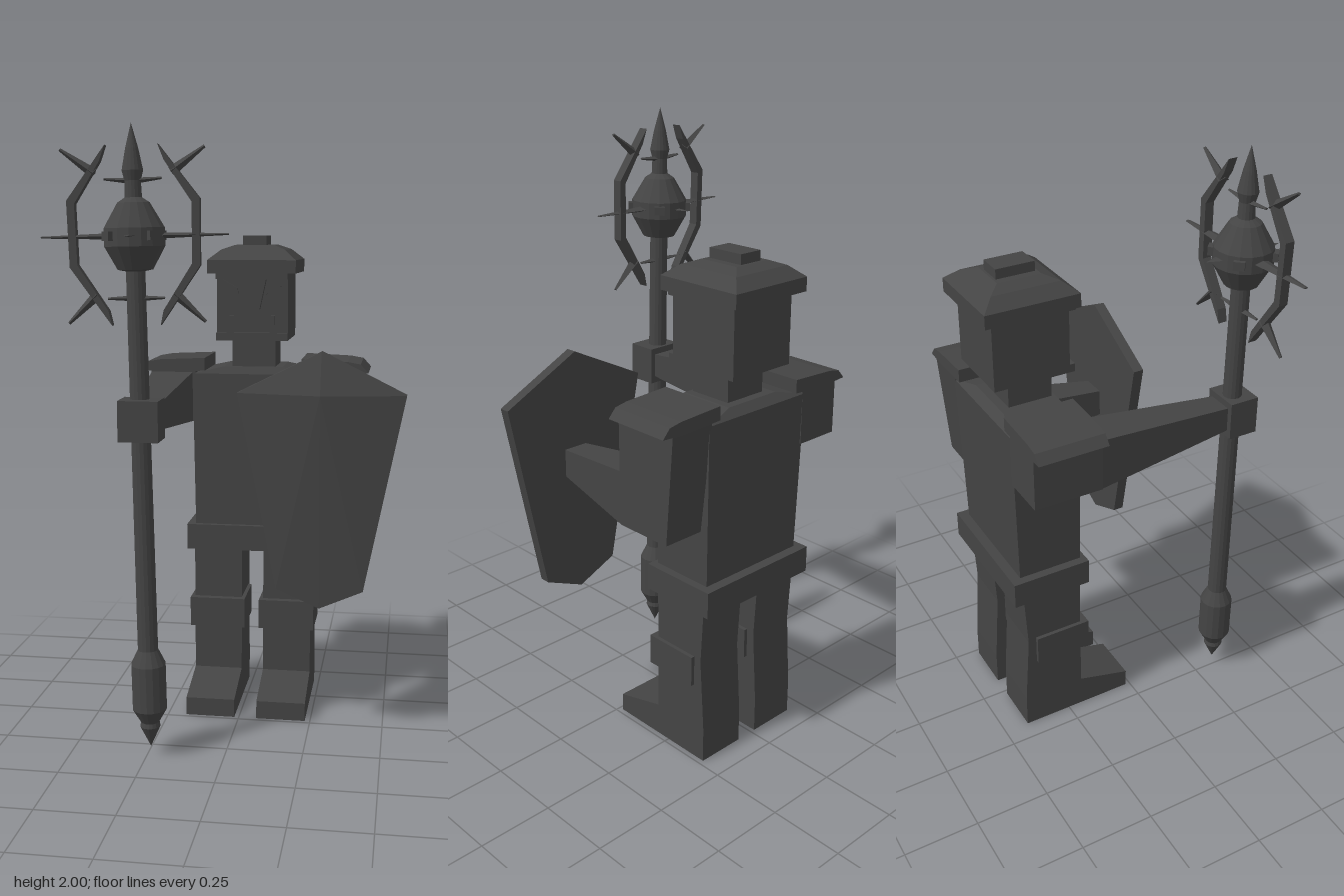
import * as THREE from 'three';

const iron = new THREE.MeshStandardMaterial({ color: 0x444444, flatShading: true });
iron.name = 'dark iron';

const mesh = (name, geometry, parent) => {
  const m = new THREE.Mesh(geometry, iron);
  m.name = name;
  parent.add(m);
  return m;
};

// Box given by its limits
function box(x0, x1, y0, y1, z0, z1) {
  return new THREE.BoxGeometry(x1 - x0, y1 - y0, z1 - z0)
    .translate((x0 + x1) / 2, (y0 + y1) / 2, (z0 + z1) / 2);
}

// Tapered block along z: each end is [x0, x1, y0, y1, z]
function taperZ(back, front) {
  const g = new THREE.BoxGeometry(1, 1, 1), p = g.attributes.position;
  for (let i = 0; i < p.count; i++) {
    const e = p.getZ(i) > 0 ? front : back;
    p.setXYZ(i, p.getX(i) > 0 ? e[1] : e[0], p.getY(i) > 0 ? e[3] : e[2], e[4]);
  }
  g.computeVertexNormals();
  return g;
}

// Tapered block along y: each end is [x0, x1, z0, z1, y]
function taperY(low, high) {
  const g = new THREE.BoxGeometry(1, 1, 1), p = g.attributes.position;
  for (let i = 0; i < p.count; i++) {
    const e = p.getY(i) > 0 ? high : low;
    p.setXYZ(i, p.getX(i) > 0 ? e[1] : e[0], e[4], p.getZ(i) > 0 ? e[3] : e[2]);
  }
  g.computeVertexNormals();
  return g;
}

// Polygon in x, y extruded along z
function plate(points, z0, z1) {
  const shape = new THREE.Shape(points.map(([x, y]) => new THREE.Vector2(x, y)));
  return new THREE.ExtrudeGeometry(shape, { depth: z1 - z0, bevelEnabled: false }).translate(0, 0, z0);
}

// Side profile in z, y extruded across x
const sidePlate = (points, x0, x1) => plate(points, -x1, -x0).rotateY(-Math.PI / 2);

// Pointed bar between two points in the x, y plane
function spike(from, to, rBase, rTip, flat) {
  const a = new THREE.Vector2(...from), d = new THREE.Vector2(...to).sub(a);
  return new THREE.CylinderGeometry(rTip, rBase, d.length(), 4)
    .scale(flat, 1, 1)
    .translate(0, d.length() / 2, 0)
    .rotateZ(d.angle() - Math.PI / 2)
    .translate(a.x, a.y, 0);
}

function buildBody(root) {
  const cx = 0.023;
  mesh('torso', taperY([-0.18, 0.226, -0.415, -0.195, 0.6], [-0.19, 0.236, -0.428, -0.195, 1.19]), root);
  mesh('collar', taperY([-0.19, 0.236, -0.428, -0.195, 1.19], [-0.08, 0.126, -0.4, -0.21, 1.215]), root);
  mesh('belt', box(-0.21, 0.255, 0.56, 0.65, -0.45, -0.177), root);
  mesh('neck', box(-0.053, 0.1, 1.19, 1.32, -0.37, -0.22), root);

  // Legs with feet, and knee guards
  const leg = [[-0.415, 0], [-0.015, 0], [-0.015, 0.063], [-0.2, 0.112], [-0.2, 0.58],
    [-0.41, 0.58], [-0.398, 0.37], [-0.415, 0.12]];
  for (const side of [-1, 1]) {
    const x = cx + side * 0.124;
    const label = side < 0 ? 'right' : 'left';
    mesh(label + 'Leg', sidePlate(leg, x - 0.085, x + 0.085), root);
    mesh(label + 'Knee', box(x - 0.098, x + 0.098, 0.275, 0.38, -0.37, -0.175), root);

    // Curved shoulder plate
    const pad = [[0.402, 1.2], [0.375, 1.23], [0.33, 1.238], [0.17, 1.245], [0.17, 1.2], [0.33, 1.195]]
      .map(([px, py]) => [cx + side * px, py]);
    mesh(label + 'ShoulderPlate', plate(pad, -0.43, -0.195), root);
  }

  // Right arm reaching to the staff
  mesh('rightShoulder', box(-0.338, -0.18, 1.02, 1.205, -0.428, -0.195), root);
  mesh('rightForearm', taperZ([-0.336, -0.19, 1.02, 1.195, -0.2], [-0.297, -0.208, 1.065, 1.145, 0.3]), root);
  mesh('rightHand', box(-0.317, -0.19, 1.04, 1.168, 0.288, 0.39), root);

  // Left arm bent behind the shield
  mesh('leftUpperArm', taperY([0.24, 0.384, -0.4, -0.195, 0.84], [0.226, 0.386, -0.43, -0.195, 1.205]), root);
  mesh('leftForearm', taperZ([0.24, 0.384, 0.84, 1.02, -0.2], [0.255, 0.34, 0.887, 0.98, 0.13]), root);
}

function buildHead(root) {
  const head = new THREE.Group();
  head.name = 'head';
  root.add(head);
  mesh('skull', box(-0.1, 0.147, 1.31, 1.56, -0.435, -0.178), head);
  mesh('chinStrip', box(-0.1, 0.147, 1.31, 1.337, -0.2, -0.16), head);
  mesh('mouth', box(-0.056, 0.102, 1.365, 1.396, -0.18, -0.17), head);

  // Brow and nose guard
  const half = [[0.124, 1.54], [0.124, 1.52], [0.05, 1.52], [0.028, 1.418]];
  const guard = [...half, ...half.map(([x, y]) => [-x, y]).reverse()].map(([x, y]) => [x + 0.023, y]);
  mesh('noseGuard', plate(guard, -0.18, -0.155), head);
  for (const s of [-1, 1]) {
    const eye = [[0.05, 1.49], [0.103, 1.52], [0.103, 1.497], [0.047, 1.468]].map(([x, y]) => [0.023 + s * x, y]);
    mesh('eye', plate(eye, -0.178, -0.17), head);
  }

  // Domed helmet built from stacked tapers
  const tiers = [[-0.13, 0.175, -0.467, -0.152, 1.54], [-0.13, 0.175, -0.467, -0.152, 1.585],
    [-0.088, 0.133, -0.425, -0.197, 1.62], [-0.045, 0.09, -0.385, -0.24, 1.636]];
  for (let i = 0; i < 3; i++) mesh('helmet', taperY(tiers[i], tiers[i + 1]), head);
  mesh('helmetCrest', box(-0.02, 0.063, 1.62, 1.668, -0.377, -0.248), head);
}

function buildShield(root) {
  const rim = [[0.29, 1.305], [0.02, 1.17], [0.148, 0.527], [0.29, 0.465], [0.432, 0.527], [0.56, 1.17]];
  const shield = new THREE.Group();
  shield.name = 'shield';
  root.add(shield);
  mesh('shieldBoard', plate(rim, 0.125, 0.161), shield);

  // Raised front facets meeting at one point
  const pos = [];
  rim.forEach((a, i) => {
    const b = rim[(i + 1) % rim.length];
    pos.push(...a, 0.161, ...b, 0.161, 0.29, 1.17, 0.209);
  });
  const g = new THREE.BufferGeometry();
  g.setAttribute('position', new THREE.Float32BufferAttribute(pos, 3));
  g.computeVertexNormals();
  mesh('shieldFace', g, shield);
}

function buildStaff(root) {
  const staff = new THREE.Group();
  staff.name = 'staff';
  staff.position.set(-0.237, 0, 0.328);
  staff.rotation.set(0, 0.05, 0.019);
  root.add(staff);

  const lathe = pts => new THREE.LatheGeometry(pts.map(([r, y]) => new THREE.Vector2(r, y)), 16);
  mesh('pommel', lathe([[0, 0.03], [0.033, 0.1], [0.03, 0.115], [0.056, 0.16], [0.056, 0.31], [0.033, 0.358]]), staff);
  mesh('shaft', lathe([[0.033, 0.35], [0.03, 1.57]]), staff);
  mesh('orb', lathe([[0.03, 1.56], [0.055, 1.565], [0.094, 1.635], [0.094, 1.69], [0.05, 1.765], [0.027, 1.78],
    [0.025, 1.83], [0.033, 1.86], [0.02, 1.925], [0, 2]]), staff);

  const crown = new THREE.Group();
  crown.name = 'crown';
  crown.position.y = 1.666;
  staff.add(crown);

  // Studs and flat spikes around the orb
  for (let i = 0; i < 4; i++) {
    const a = Math.PI / 4 + i * Math.PI / 2;
    const stud = mesh('stud', new THREE.BoxGeometry(0.035, 0.028, 0.03), crown);
    stud.position.set(Math.sin(a) * 0.092, 0, Math.cos(a) * 0.092);
    stud.rotation.y = a;
  }
  for (const s of [-1, 1]) {
    mesh('shortSpike', new THREE.ConeGeometry(0.05, 0.14, 4).scale(1, 1, 0.2)
      .translate(0, 0.07, 0).rotateX(s * Math.PI / 2), crown);
    mesh('longSpike', spike([0, 0], [s * 0.288, 0], 0.034, 0.008, 0.35), crown);

    // Bowed horn with two outward thorns
    const horn = [[0.08, 0.27], [0.203, 0.108], [0.2, -0.092], [0.075, -0.27],
      [0.085, -0.225], [0.176, -0.085], [0.179, 0.098], [0.098, 0.222]].map(([x, y]) => [s * x, y]);
    mesh('horn', plate(horn, -0.016, 0.016), crown);
    mesh('thorn', spike([s * 0.118, 0.188], [s * 0.22, 0.26], 0.02, 0.006, 0.8), crown);
    mesh('thorn', spike([s * 0.12, -0.175], [s * 0.212, -0.262], 0.02, 0.006, 0.8), crown);

    // Small crossbars above and below the orb
    mesh('crossbar', spike([0, 0.163], [s * 0.088, 0.17], 0.016, 0.006, 0.6), crown);
    mesh('crossbar', spike([0, -0.188], [s * 0.088, -0.188], 0.016, 0.006, 0.6), crown);
  }
}

export function createModel() {
  const root = new THREE.Group();
  root.name = 'armouredGuard';
  buildBody(root);
  buildHead(root);
  buildShield(root);
  buildStaff(root);
  return root;
}
